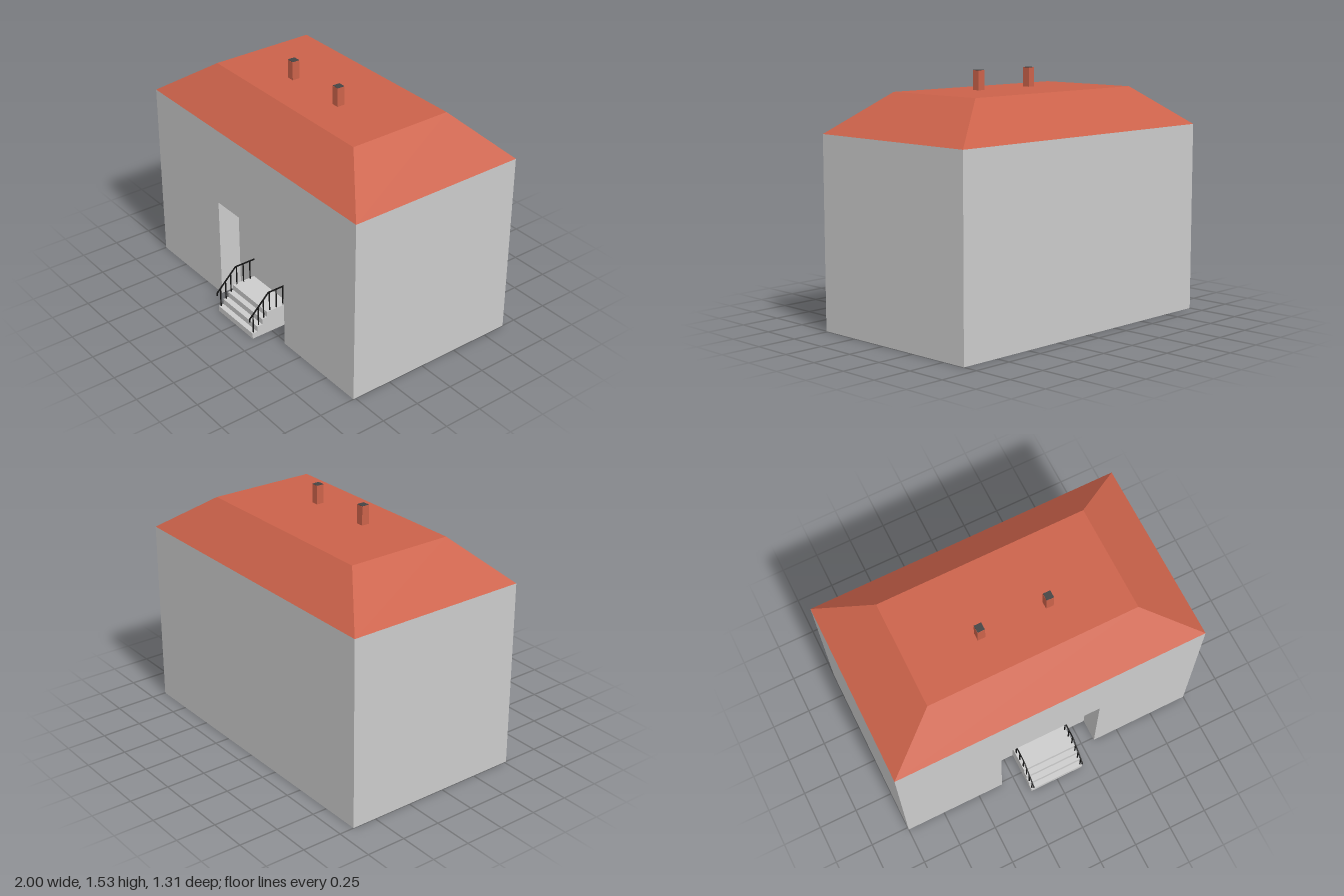
import * as THREE from 'three';

const wallMat = new THREE.MeshStandardMaterial({ color: 0xcccccc, side: THREE.DoubleSide });
const roofMat = new THREE.MeshStandardMaterial({ color: 0xcb624a, side: THREE.DoubleSide });
const railMat = new THREE.MeshStandardMaterial({ color: 0x141414 });
const capMat = new THREE.MeshStandardMaterial({ color: 0x444444 });

const BACK = -0.655, FRONT = 0.515, EAVES = 1.175, NICHE = 0.37;

// Flat-shaded surface from four-cornered faces, corners anticlockwise from outside
function quads(faces) {
  const pos = faces.flatMap(([a, b, c, d]) => [a, b, c, a, c, d].flat());
  const g = new THREE.BufferGeometry();
  g.setAttribute('position', new THREE.Float32BufferAttribute(pos, 3));
  g.computeVertexNormals();
  return g;
}

function add(parent, name, geometry, material, x = 0, y = 0, z = 0) {
  const m = new THREE.Mesh(geometry, material);
  m.name = name;
  m.position.set(x, y, z);
  parent.add(m);
  return m;
}

const polygon = (pts) => new THREE.ShapeGeometry(new THREE.Shape(pts.map(([x, y]) => new THREE.Vector2(x, y))));

// Open-bottomed walls with a recessed entrance
function buildWalls() {
  const g = new THREE.Group();
  g.name = 'walls';
  const w = 0.335, h = 0.67;
  add(g, 'frontWall', polygon([[-1, 0], [-w, 0], [-w, h], [w, h], [w, 0], [1, 0], [1, EAVES], [-1, EAVES]]), wallMat, 0, 0, FRONT);
  add(g, 'sideAndBackWalls', quads([
    [[1, 0, FRONT], [1, 0, BACK], [1, EAVES, BACK], [1, EAVES, FRONT]],
    [[1, 0, BACK], [-1, 0, BACK], [-1, EAVES, BACK], [1, EAVES, BACK]],
    [[-1, 0, BACK], [-1, 0, FRONT], [-1, EAVES, FRONT], [-1, EAVES, BACK]],
  ]), wallMat);
  add(g, 'entranceRecess', quads([
    [[-w, 0, NICHE], [w, 0, NICHE], [w, h, NICHE], [-w, h, NICHE]],
    [[-w, 0, FRONT], [-w, 0, NICHE], [-w, h, NICHE], [-w, h, FRONT]],
    [[w, 0, NICHE], [w, 0, FRONT], [w, h, FRONT], [w, h, NICHE]],
    [[-w, h, NICHE], [w, h, NICHE], [w, h, FRONT], [-w, h, FRONT]],
  ]), wallMat);
  return g;
}

// Hipped roof with a flat top
function buildRoof() {
  const ring = (x, y, z0, z1) => [[-x, y, z1], [x, y, z1], [x, y, z0], [-x, y, z0]];
  const low = ring(1, EAVES, BACK, FRONT), top = ring(0.665, 1.415, -0.41, 0.27);
  const faces = low.map((p, i) => [p, low[(i + 1) % 4], top[(i + 1) % 4], top[i]]);
  return quads([...faces, top]);
}

// Stepped shell, open underneath
function buildSteps() {
  const g = new THREE.Group();
  g.name = 'steps';
  const x0 = -0.185, x1 = 0.18, back = NICHE - 0.002, rise = 0.0375;
  const fronts = [0.64, 0.605, 0.567, 0.53, back];
  const faces = [], profile = [[-back, 0], [-fronts[0], 0]];
  for (let i = 0; i < 4; i++) {
    const y = i * rise, t = y + rise, z = fronts[i], n = fronts[i + 1];
    faces.push([[x0, y, z], [x1, y, z], [x1, t, z], [x0, t, z]]);
    faces.push([[x0, t, z], [x1, t, z], [x1, t, n], [x0, t, n]]);
    profile.push([-z, t], [-n, t]);
  }
  faces.push([[x1, 0, back], [x0, 0, back], [x0, 4 * rise, back], [x1, 4 * rise, back]]);
  add(g, 'treadsAndRisers', quads(faces), wallMat);
  add(g, 'leftStepSide', polygon(profile).rotateY(Math.PI / 2), wallMat, x1);
  add(g, 'rightStepSide', polygon(profile).rotateY(Math.PI / 2), wallMat, x0);
  return g;
}

// Handrail of straight bars with a post on each step and on the landing
function buildRailing(name, x) {
  const g = new THREE.Group();
  g.name = name;
  const bar = 0.007;
  const path = [[0.126, 0.653], [0.143, 0.653], [0.281, 0.512], [0.281, NICHE - 0.004]];
  for (let i = 0; i < path.length - 1; i++) {
    const [ya, za] = path[i], [yb, zb] = path[i + 1];
    const len = Math.hypot(yb - ya, zb - za);
    const m = add(g, 'handrail', new THREE.BoxGeometry(bar, bar, len + bar * 0.5), railMat, x, (ya + yb) / 2, (za + zb) / 2);
    m.rotation.x = -Math.atan2(yb - ya, zb - za);
  }
  const posts = [[0.628, 0.0375, 0.167], [0.589, 0.075, 0.205], [0.55, 0.1125, 0.243], [0.505, 0.15, 0.28], [0.455, 0.15, 0.28], [0.405, 0.15, 0.28]];
  for (const [z, y0, y1] of posts) {
    add(g, 'railPost', new THREE.BoxGeometry(0.006, y1 - y0, 0.006), railMat, x, (y0 + y1) / 2, z);
  }
  return g;
}

// Chimney with a dark flue top
function buildChimney(name, x) {
  const g = new THREE.Group();
  g.name = name;
  add(g, 'chimneyStack', new THREE.BoxGeometry(0.048, 0.128, 0.049), roofMat, 0, 1.469, 0);
  add(g, 'flueTop', new THREE.BoxGeometry(0.046, 0.002, 0.047), capMat, 0, 1.534, 0);
  g.position.set(x, 0, 0.021);
  return g;
}

export function createModel() {
  const model = new THREE.Group();
  model.name = 'house';
  model.add(buildWalls());
  add(model, 'roof', buildRoof(), roofMat);
  model.add(buildChimney('rightChimney', -0.219), buildChimney('leftChimney', 0.214));
  model.add(buildSteps());
  model.add(buildRailing('rightRailing', -0.177), buildRailing('leftRailing', 0.171));
  return model;
}
